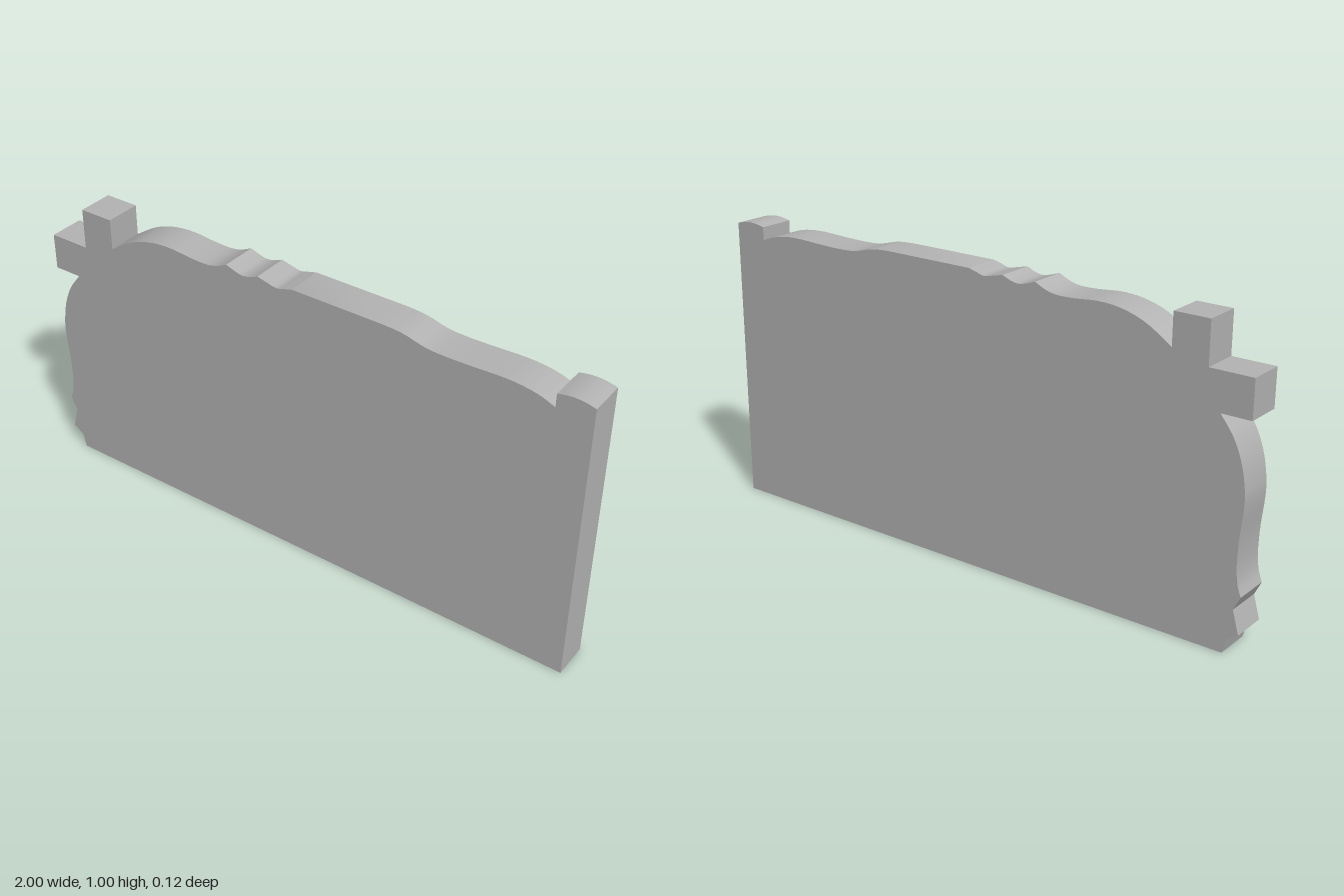
import * as THREE from 'three';
import { toCreasedNormals } from 'three/addons/utils/BufferGeometryUtils.js';

const DEPTH = 0.125;

export function createModel() {
  const group = new THREE.Group();
  group.name = 'wallPanel';
  const stone = new THREE.MeshStandardMaterial({ color: 0xb4b4b4 });
  stone.name = 'grey stone';

  const outline = new THREE.Shape();
  const lines = (pts) => pts.forEach(([x, y]) => outline.lineTo(x, y));
  const curve = (pts) => outline.splineThru(pts.map(([x, y]) => new THREE.Vector2(x, y)));

  // straight base and right edge
  outline.moveTo(-0.95, 0);
  lines([[1, 0], [1, 0.99]]);
  // rounded cap at the right end
  curve([[0.97, 0.997], [0.94, 1], [0.91, 0.998], [0.88, 0.992]]);
  lines([[0.88, 0.946]]);
  // wavy top edge
  curve([[0.84, 0.962], [0.79, 0.973], [0.72, 0.978], [0.6, 0.974], [0.52, 0.973], [0.46, 0.977], [0.4, 0.992]]);
  curve([[0.37, 0.997], [0.32, 1]]);
  lines([[-0.01, 1]]);
  curve([[-0.04, 0.992], [-0.07, 0.985], [-0.105, 0.992], [-0.14, 1]]);
  curve([[-0.17, 0.988], [-0.2, 0.983], [-0.23, 0.99], [-0.26, 1]]);
  curve([[-0.3, 0.982], [-0.34, 0.974], [-0.4, 0.975], [-0.49, 0.982], [-0.57, 0.974], [-0.65, 0.947], [-0.735, 0.894]]);
  // stepped corner blocks
  lines([[-0.735, 1], [-0.855, 1], [-0.855, 0.86], [-1, 0.86], [-1, 0.735], [-0.9, 0.735]]);
  // wavy left edge
  curve([[-0.945, 0.675], [-0.975, 0.605], [-0.99, 0.53], [-0.992, 0.47], [-0.983, 0.37], [-0.981, 0.29], [-0.987, 0.235], [-1, 0.195]]);
  // chipped lower left corner
  lines([[-0.978, 0.15], [-1, 0.073], [-0.962, 0.05], [-0.95, 0]]);

  const slab = new THREE.ExtrudeGeometry(outline, { depth: DEPTH, bevelEnabled: false, curveSegments: 5 });
  slab.translate(0, 0, -DEPTH / 2);
  const mesh = new THREE.Mesh(toCreasedNormals(slab, 0.4), stone);
  mesh.name = 'slab';
  group.add(mesh);
  return group;
}
